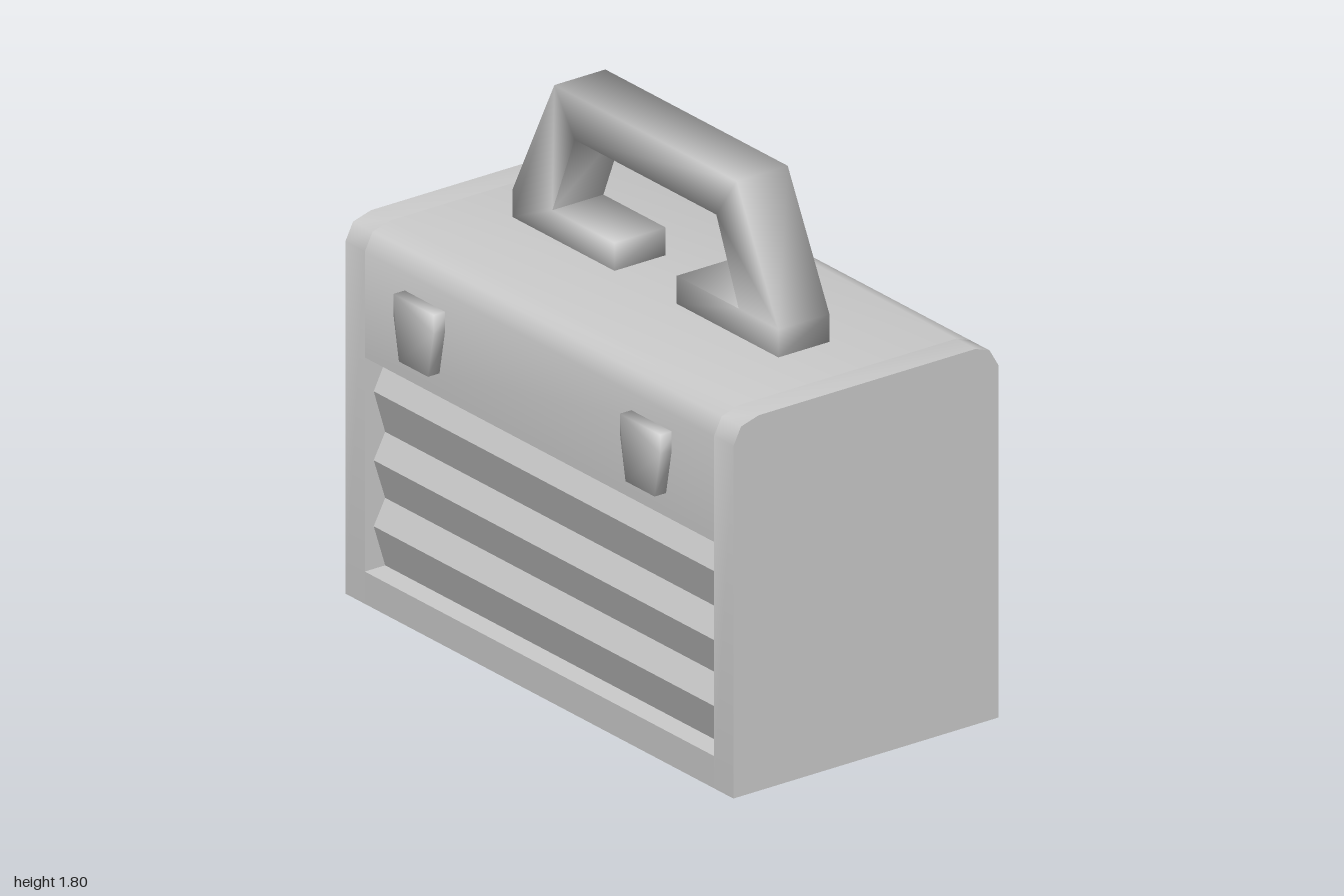
import * as THREE from 'three';
import { toCreasedNormals } from 'three/addons/utils/BufferGeometryUtils.js';

const material = new THREE.MeshStandardMaterial({ color: 0xcccccc });

function extrude(points, depth) {
  const shape = new THREE.Shape(points.map(([a, b]) => new THREE.Vector2(a, b)));
  return new THREE.ExtrudeGeometry(shape, { depth, bevelEnabled: false });
}

function addMesh(parent, name, geometry, crease) {
  const mesh = new THREE.Mesh(toCreasedNormals(geometry, crease), material);
  mesh.name = name;
  parent.add(mesh);
}

// Side profile of [z, y] points, swept along x from x0 to x1
function sweepX(profile, x0, x1) {
  return extrude(profile.map(([z, y]) => [-z, y]), x1 - x0)
    .rotateY(Math.PI / 2)
    .translate(x0, 0, 0);
}

export function createModel() {
  const group = new THREE.Group();
  group.name = 'toolbox';

  // Body: two solid ends and a middle with the drawer recess
  const back = [[-0.54, 0], [-0.54, 1.2], [-0.505, 1.26], [-0.45, 1.28]];
  const frontTop = [[0.4, 1.28], [0.47, 1.26], [0.5, 1.2]];
  const recess = [[0.5, 0.84], [0.42, 0.825], [0.4, 0.805], [0.4, 0.11], [0.5, 0.11]];
  const solid = [...back, ...frontTop, [0.5, 0]];
  const notched = [...back, ...frontTop, ...recess, [0.5, 0]];
  addMesh(group, 'rightBodyEnd', sweepX(solid, -1, -0.9), 0.9);
  addMesh(group, 'bodyMiddle', sweepX(notched, -0.9, 0.9), 0.9);
  addMesh(group, 'leftBodyEnd', sweepX(solid, 0.9, 1), 0.9);

  // Three drawers with a pulled-out ridge on each front
  const drawers = [[0.805, 0.715, 0.565], [0.565, 0.48, 0.34], [0.34, 0.255, 0.11]];
  drawers.forEach(([top, ridge, bottom], i) => {
    const profile = [[0.39, bottom], [0.39, top], [0.42, top], [0.465, ridge], [0.42, bottom]];
    addMesh(group, `drawer${i + 1}`, sweepX(profile, -0.9, 0.9), 0.6);
  });

  // Latches, tapering downwards
  for (const [name, x] of [['rightLatch', -0.59], ['leftLatch', 0.578]]) {
    const outline = [[-0.104, 1.14], [-0.104, 1.075], [-0.075, 0.92],
      [0.075, 0.92], [0.104, 1.075], [0.104, 1.14]];
    addMesh(group, name, extrude(outline, 0.065).translate(x, 0, 0.48), 1.7);
  }

  // Handle: one arch with feet turned inwards, softly shaded
  const half = [[0.16, 1.28], [0.685, 1.28], [0.685, 1.375], [0.47, 1.805],
    [0.365, 1.655], [0.48, 1.375], [0.16, 1.375]];
  const outer = half.slice(0, 4);
  const inner = half.slice(4);
  const mirror = (points) => points.map(([x, y]) => [-x, y]).reverse();
  const arch = [...outer, ...mirror(outer), ...mirror(inner), ...inner];
  addMesh(group, 'handle', extrude(arch, 0.2).translate(-0.005, 0, -0.12), 1.7);

  return group;
}
